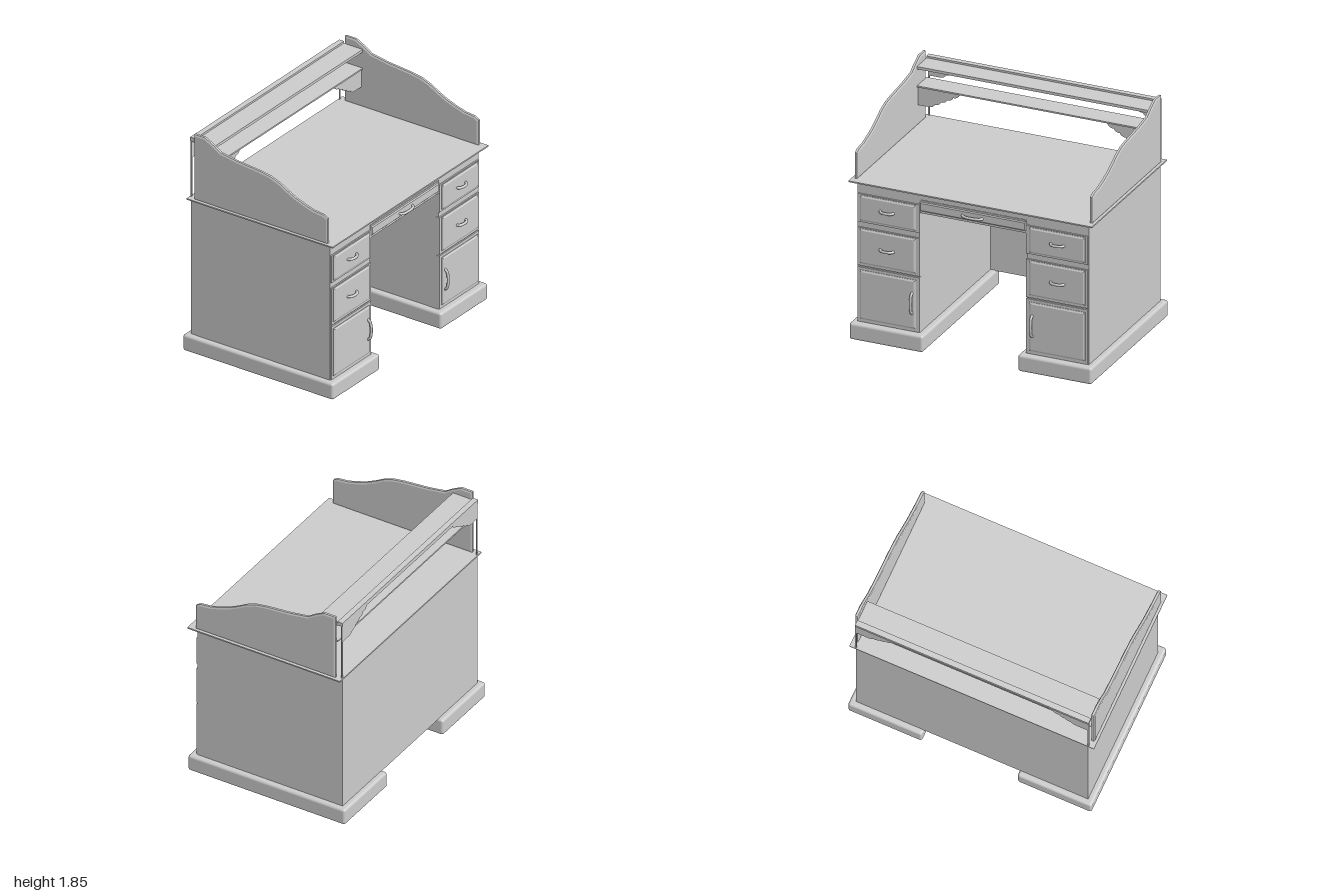
import * as THREE from 'three';
import { RoundedBoxGeometry } from 'three/addons/geometries/RoundedBoxGeometry.js';

const material = new THREE.MeshStandardMaterial({ color: 0xcccccc, side: THREE.DoubleSide });

export function createModel() {
  const model = new THREE.Group();

  function add(name, geometry) {
    const mesh = new THREE.Mesh(geometry, material);
    mesh.name = name;
    model.add(mesh);
    return mesh;
  }

  // Box given by its limits on each axis
  function box(name, x0, x1, y0, y1, z0, z1) {
    const g = new THREE.BoxGeometry(Math.abs(x1 - x0), y1 - y0, z1 - z0);
    g.translate((x0 + x1) / 2, (y0 + y1) / 2, (z0 + z1) / 2);
    return add(name, g);
  }

  // Front panel with chamfered edges facing +z
  function panel(name, xa, xb, y0, y1, z0, z1, bevel) {
    const x0 = Math.min(xa, xb) + bevel, x1 = Math.max(xa, xb) - bevel;
    const shape = new THREE.Shape([
      new THREE.Vector2(x0, y0 + bevel), new THREE.Vector2(x1, y0 + bevel),
      new THREE.Vector2(x1, y1 - bevel), new THREE.Vector2(x0, y1 - bevel)]);
    const t = 0.008;
    const g = new THREE.ExtrudeGeometry(shape, {
      depth: z1 - z0 - 2 * t, bevelThickness: t, bevelSize: bevel, bevelSegments: 1 });
    g.translate(0, 0, z0 + t);
    return add(name, g);
  }

  // Arched pull, horizontal or upright
  function handle(name, x, y, z, length, upright) {
    const h = length / 2;
    const curve = new THREE.CatmullRomCurve3([
      [-h, 0], [-h * 0.85, 0.02], [-h * 0.5, 0.031], [0, 0.034],
      [h * 0.5, 0.031], [h * 0.85, 0.02], [h, 0]].map(([a, b]) => new THREE.Vector3(a, 0, b)));
    const mesh = add(name, new THREE.TubeGeometry(curve, 20, 0.011, 8));
    mesh.position.set(x, y, z);
    if (upright) mesh.rotation.z = Math.PI / 2;
  }

  // Stepped, scalloped corner bracket; s is the side of the desk
  function bracket(name, s, top, height, z) {
    const shape = new THREE.Shape();
    const steps = 5, w = 0.34, x0 = 0.95;
    shape.moveTo(s * x0, top);
    shape.lineTo(s * (x0 - w), top);
    let x = x0 - w, y = top - 0.012;
    shape.lineTo(s * x, y);
    for (let i = 0; i < steps; i++) {
      const nx = x + (w - 0.09) / steps, ny = y - (height - 0.012) / steps;
      shape.quadraticCurveTo(s * (x + 0.012), ny, s * nx, ny);
      x = nx;
      y = ny;
    }
    shape.lineTo(s * x0, top - height);
    const g = new THREE.ExtrudeGeometry(shape, { depth: 0.008, bevelEnabled: false, curveSegments: 5 });
    g.translate(0, 0, z - 0.004);
    add(name, g);
  }

  // Outline of the gallery sides as [z, y]
  const crest = [[0.615, 1.5], [0.59, 1.515], [0.5, 1.525], [0.42, 1.548], [0.33, 1.58], [0.25, 1.62],
    [0.18, 1.66], [0.1, 1.69], [0, 1.706], [-0.2, 1.724], [-0.36, 1.75], [-0.42, 1.79], [-0.5, 1.832]];
  const outline = [[0.615, 1.31], ...crest, [-0.583, 1.832], [-0.583, 1.31]];

  for (const s of [1, -1]) {
    const side = s > 0 ? 'left' : 'right';

    // Plinth and pedestal carcass
    const plinth = new RoundedBoxGeometry(0.605, 0.135, 1.38, 3, 0.02);
    plinth.translate(s * 0.693, 0.0675, 0);
    add(side + 'Plinth', plinth);
    box(side + 'Pedestal', s * 0.44, s * 0.95, 0.13, 1.288, -0.635, 0.632);

    // Two drawers and a door, each a slab with a raised panel
    const fronts = [['UpperDrawer', 0.957, 1.187, 0.97, 1.178],
      ['LowerDrawer', 0.6, 0.912, 0.62, 0.905], ['Door', 0.14, 0.588, 0.165, 0.565]];
    for (const [part, y0, y1, p0, p1] of fronts) {
      box(side + part, s * 0.438, s * 0.945, y0, y1, 0.61, 0.643);
      panel(side + part + 'Panel', s * 0.465, s * 0.925, p0, p1, 0.62, 0.655, 0.014);
    }
    handle(side + 'UpperHandle', s * 0.7, 1.08, 0.65, 0.11, false);
    handle(side + 'LowerHandle', s * 0.7, 0.765, 0.65, 0.11, false);
    handle(side + 'DoorHandle', s * 0.493, 0.375, 0.65, 0.17, true);

    // Curved gallery side with chamfered rim
    const shape = new THREE.Shape(outline.map(([z, y]) => new THREE.Vector2(-z, y)));
    const g = new THREE.ExtrudeGeometry(shape, {
      depth: 0.018, bevelThickness: 0.006, bevelSize: 0.013, bevelSegments: 1 });
    g.rotateY(Math.PI / 2);
    g.translate(s * 0.966 - 0.009, 0, 0);
    add(side + 'GallerySide', g);

    // Back strip and brackets below the shelves
    box(side + 'BackStrip', s * 0.945, s * 0.957, 1.295, 1.765, -0.644, -0.636);
    bracket(side + 'UpperBracket', s, 1.765, 0.14, -0.64);
    bracket(side + 'LowerBracket', s, 1.613, 0.15, -0.445);
  }

  // Back, apron and centre drawer
  box('backPanel', -0.95, 0.95, 0.13, 1.29, -0.645, -0.632);
  box('apron', -0.44, 0.44, 1.2, 1.288, 0.6, 0.632);
  box('centreDrawerBody', -0.43, 0.43, 1.14, 1.24, 0.05, 0.62);
  box('centreDrawerFront', -0.437, 0.437, 1.12, 1.225, 0.61, 0.638);
  panel('centreDrawerPanel', -0.435, 0.435, 1.138, 1.212, 0.62, 0.648, 0.008);
  handle('centreHandle', 0, 1.172, 0.645, 0.165, false);

  // Writing top
  box('desktop', -1, 1, 1.287, 1.298, -0.65, 0.69);

  // Shelves across the back
  box('topShelf', -0.955, 0.955, 1.76, 1.782, -0.605, -0.43);
  box('topRail', -0.955, 0.955, 1.764, 1.797, -0.648, -0.603);
  box('lowerShelf', -0.955, 0.955, 1.612, 1.624, -0.605, -0.43);

  return model;
}
